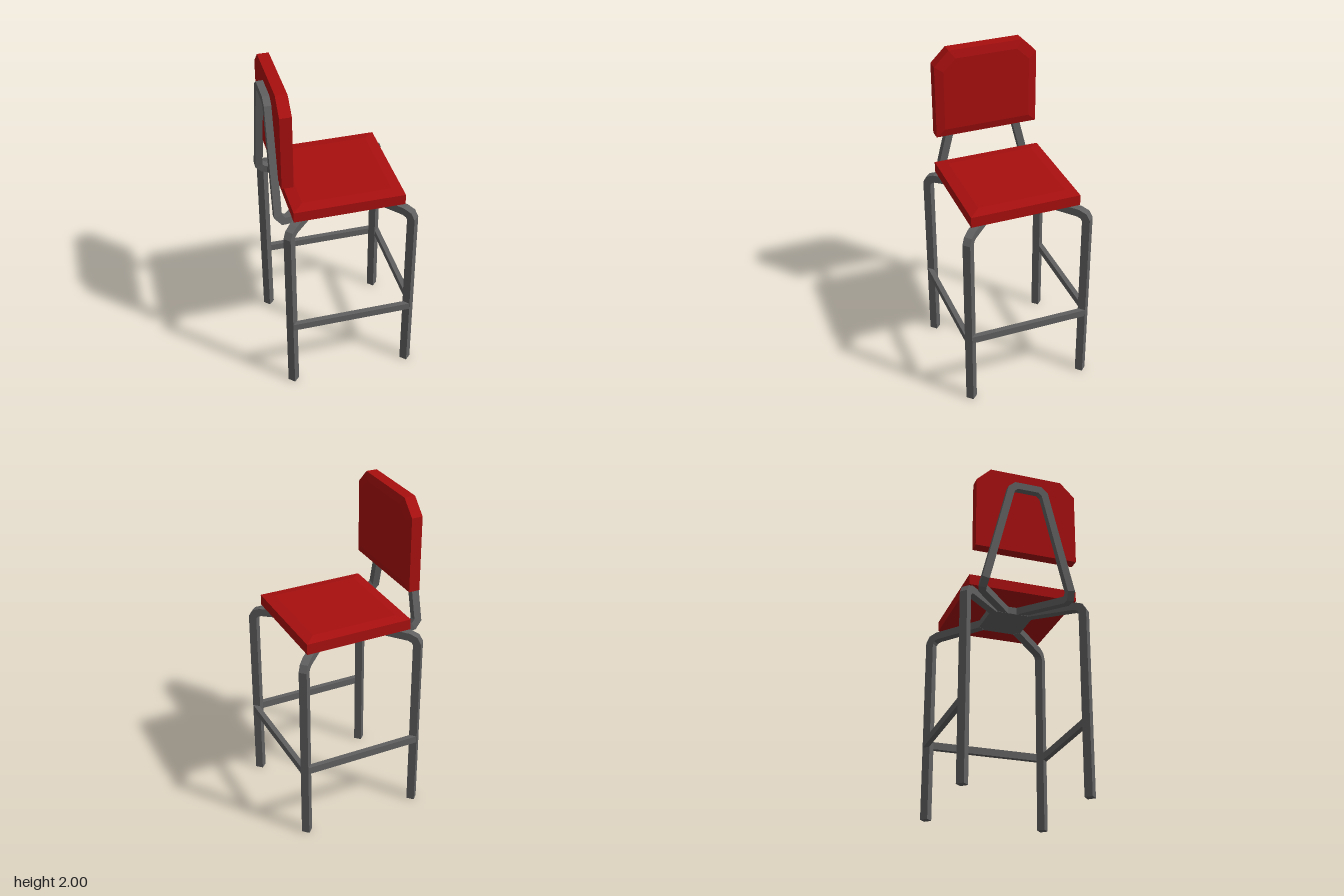
import * as THREE from 'three';
import { ConvexGeometry } from 'three/addons/geometries/ConvexGeometry.js';

const V = (x, y, z) => new THREE.Vector3(x, y, z);
const CX = 0.015; // centre of the leg frame

// Square bar swept along a path with mitred corners; side is one axis of its section
function barGeometry(path, side, half) {
  const dirs = path.slice(1).map((p, i) => p.clone().sub(path[i]).normalize());
  const other = dirs[0].clone().cross(side).normalize();
  let ring = [[1, 1], [-1, 1], [-1, -1], [1, -1]].map(([a, b]) =>
    path[0].clone().addScaledVector(side, a * half).addScaledVector(other, b * half));
  const pos = [];
  const quad = (a, b, c, d) => [a, b, c, a, c, d].forEach(p => pos.push(p.x, p.y, p.z));
  quad(ring[3], ring[2], ring[1], ring[0]);
  dirs.forEach((d, i) => {
    const n = d.clone().add(dirs[i + 1] || d).normalize();
    const next = ring.map(p =>
      p.clone().addScaledVector(d, path[i + 1].clone().sub(p).dot(n) / d.dot(n)));
    for (let k = 0; k < 4; k++) {
      const m = (k + 1) % 4;
      quad(ring[k], ring[m], next[m], next[k]);
    }
    ring = next;
  });
  quad(ring[0], ring[1], ring[2], ring[3]);
  const g = new THREE.BufferGeometry();
  g.setAttribute('position', new THREE.Float32BufferAttribute(pos, 3));
  g.computeVertexNormals();
  return g;
}

// Padded slab: outline at the back and the rim, shrunken outline on the raised face
function cushionGeometry(outline, rim, top, sx, sy) {
  const pts = [];
  for (const [x, y] of outline) pts.push(V(x, y, 0), V(x, y, rim), V(x * sx, y * sy, top));
  return new ConvexGeometry(pts);
}

export function createModel() {
  const model = new THREE.Group();
  model.name = 'barStool';
  const red = new THREE.MeshStandardMaterial({ color: 0xa80f0f });
  red.name = 'redPadding';
  const grey = new THREE.MeshStandardMaterial({ color: 0x606060 });
  grey.name = 'greyMetal';
  const add = (name, geometry, material) => {
    const mesh = new THREE.Mesh(geometry, material);
    mesh.name = name;
    model.add(mesh);
    return mesh;
  };

  // Four bent legs, set diagonally and running in to the hub
  const profile = [[0.366, 0], [0.366, 1.135], [0.355, 1.163], [0.33, 1.177], [0.115, 1.197]];
  for (const sx of [-1, 1]) for (const sz of [-1, 1]) {
    const path = profile.map(([r, y]) => V(CX + sx * r, y, sz * r));
    const name = (sz > 0 ? 'front' : 'back') + (sx > 0 ? 'Left' : 'Right') + 'Leg';
    add(name, barGeometry(path, V(-sz, 0, sx).normalize(), 0.024), grey);
  }

  // Octagonal hub under the seat
  const hub = [];
  for (const a of [-1, 1]) for (const b of [-1, 1]) for (const y of [1.175, 1.22]) {
    hub.push(V(CX + a * 0.134, y, b * 0.1), V(CX + a * 0.1, y, b * 0.134));
  }
  add('hub', new ConvexGeometry(hub), grey);

  // Footrest bars on three sides, open below the backrest
  for (const s of [-1, 1]) {
    add(s > 0 ? 'frontFootBar' : 'backFootBar', new THREE.BoxGeometry(0.732, 0.045, 0.031), grey)
      .position.set(CX, 0.467, s * 0.383);
  }
  add('sideFootBar', new THREE.BoxGeometry(0.031, 0.045, 0.732), grey)
    .position.set(CX + 0.384, 0.467, 0);

  // Seat cushion
  const seat = add('seat', cushionGeometry(
    [[-0.33, -0.333], [0.33, -0.333], [0.33, 0.333], [-0.33, 0.333]],
    0.065, 0.077, 0.8, 0.8), red);
  seat.rotation.x = -Math.PI / 2;
  seat.position.set(CX, 1.22, 0);

  // Backrest cushion with cut upper corners, facing the seat
  const backrest = add('backrest', cushionGeometry(
    [[-0.316, -0.2725], [0.316, -0.2725], [0.316, 0.1825], [0.226, 0.2725],
      [-0.226, 0.2725], [-0.316, 0.1825]],
    0.067, 0.08, 0.84, 0.82), red);
  backrest.rotation.y = Math.PI / 2;
  backrest.position.set(-0.374, 1.7275, 0);

  // Tapered back frame, one half on each side, bending under the seat to the hub
  const half = [[-0.393, 1.892, 0], [-0.393, 1.892, 0.075], [-0.393, 1.865, 0.106],
    [-0.393, 1.235, 0.262], [-0.365, 1.203, 0.267], [-0.335, 1.199, 0.26], [-0.1, 1.199, 0.04]];
  for (const s of [-1, 1]) {
    const path = half.map(([x, y, z]) => V(x, y, s * z));
    add(s > 0 ? 'backFrameFront' : 'backFrameRear', barGeometry(path, V(1, 0, 0), 0.0225), grey);
  }

  return model;
}
